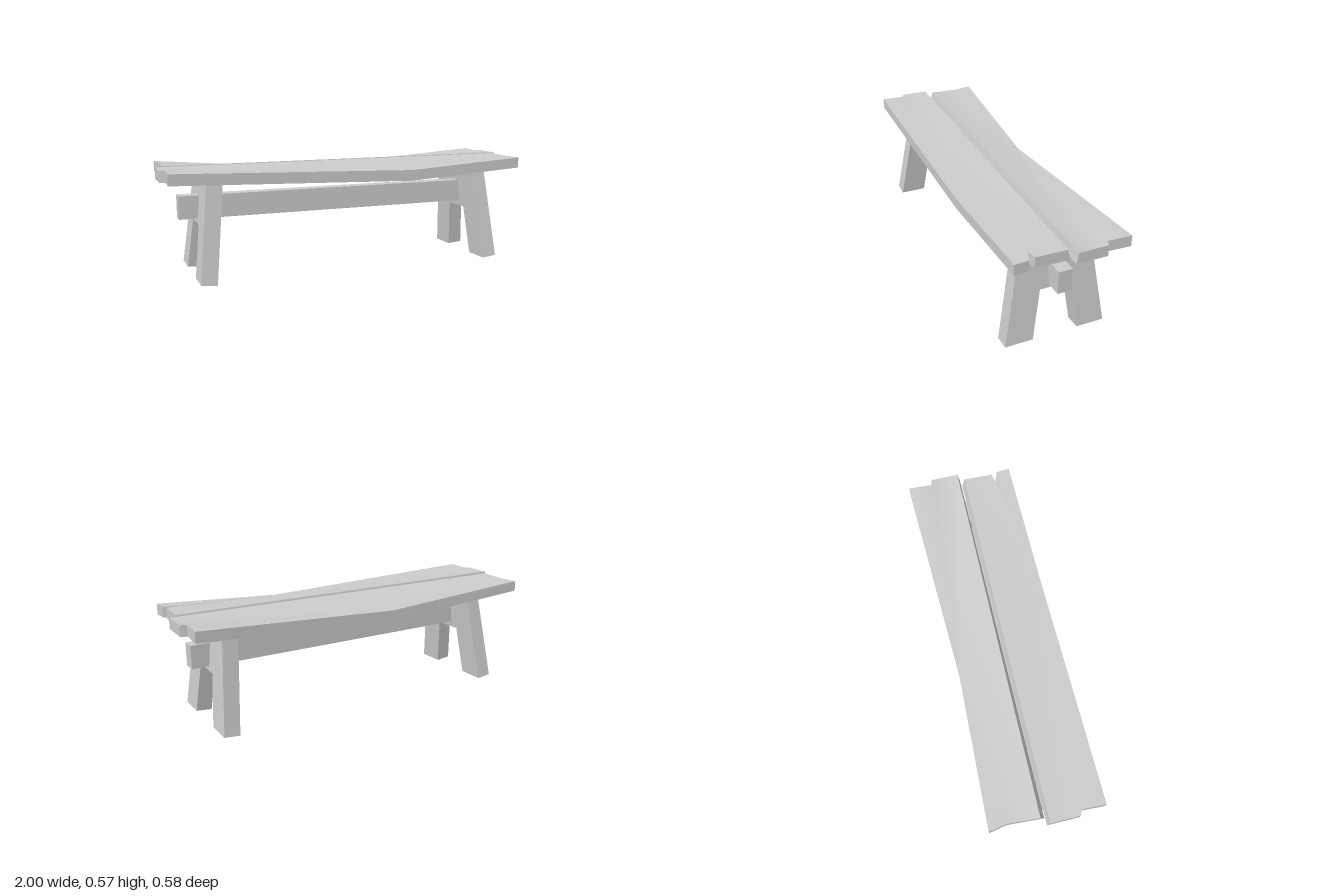
import * as THREE from 'three';
import { toCreasedNormals } from 'three/addons/utils/BufferGeometryUtils.js';

const material = new THREE.MeshStandardMaterial({ color: 0xcccccc });
const TOP = 0.57, THICKNESS = 0.057;

function addMesh(group, name, geometry) {
  const mesh = new THREE.Mesh(geometry, material);
  mesh.name = name;
  group.add(mesh);
  return mesh;
}

// Plank from an outline of [x, z, bottom z shift], counterclockwise from above.
// The first point is the worn edge, sunk by sag; both faces fan out from it.
function plankGeometry(outline, sag) {
  const upper = outline.map(([x, z], i) => [x, TOP - (i ? 0 : sag), z]);
  const lower = outline.map(([x, z, shift = 0], i) => [x, upper[i][1] - THICKNESS, z + shift]);
  const n = outline.length;
  const positions = [];
  const triangle = (a, b, c) => positions.push(...a, ...b, ...c);
  for (let i = 0; i < n; i++) {
    const j = (i + 1) % n;
    if (i > 0 && j > 0) {
      triangle(upper[0], upper[i], upper[j]);
      triangle(lower[0], lower[j], lower[i]);
    }
    triangle(upper[i], lower[i], lower[j]);
    triangle(upper[i], lower[j], upper[j]);
  }
  const geometry = new THREE.BufferGeometry();
  geometry.setAttribute('position', new THREE.Float32BufferAttribute(positions, 3));
  return toCreasedNormals(geometry, Math.PI / 7);
}

// Trestle board with splayed sides and a cut-out between the feet
function trestleGeometry() {
  const half = [[0.08, 0.27], [0.12, 0], [0.265, 0], [0.182, 0.508]];
  const mirrored = half.map(([z, y]) => [-z, y]).reverse();
  const shape = new THREE.Shape([...half, ...mirrored].map(([z, y]) => new THREE.Vector2(z, y)));
  const depth = 0.083;
  const geometry = new THREE.ExtrudeGeometry(shape, { depth, bevelEnabled: false });
  return geometry.translate(0, 0, -depth / 2).rotateY(Math.PI / 2);
}

export function createModel() {
  const bench = new THREE.Group();
  bench.name = 'bench';

  // Two seat planks with chipped ends and slanted inner edges
  addMesh(bench, 'frontPlank', plankGeometry([
    [0.3, 0.288], [0.97, 0.285], [0.965, 0.213], [0.905, 0.19], [0.955, 0.18],
    [0.96, 0.024, -0.017], [-1, 0.001, -0.013],
    [-1, 0.152], [-0.972, 0.165], [-0.978, 0.287],
  ], 0.04));
  addMesh(bench, 'backPlank', plankGeometry([
    [-0.13, -0.257], [-0.97, -0.293], [-0.953, -0.2],
    [-0.965, -0.038, 0.022], [1, -0.009, 0.011],
    [1, -0.158], [0.968, -0.167], [0.975, -0.293],
  ], 0.066));

  // Trestle legs leaning inward towards the top
  for (const [name, x, lean] of [['leftLeg', 0.813, 0.096], ['rightLeg', -0.795, -0.115]]) {
    const leg = addMesh(bench, name, trestleGeometry());
    leg.position.set(x, 0.005, 0);
    leg.rotation.z = lean;
  }

  // Stretcher beam passing through both trestles
  const beam = addMesh(bench, 'stretcher', new THREE.BoxGeometry(1.81, 0.121, 0.072));
  beam.position.set(0.01, 0.361, 0);

  return bench;
}
